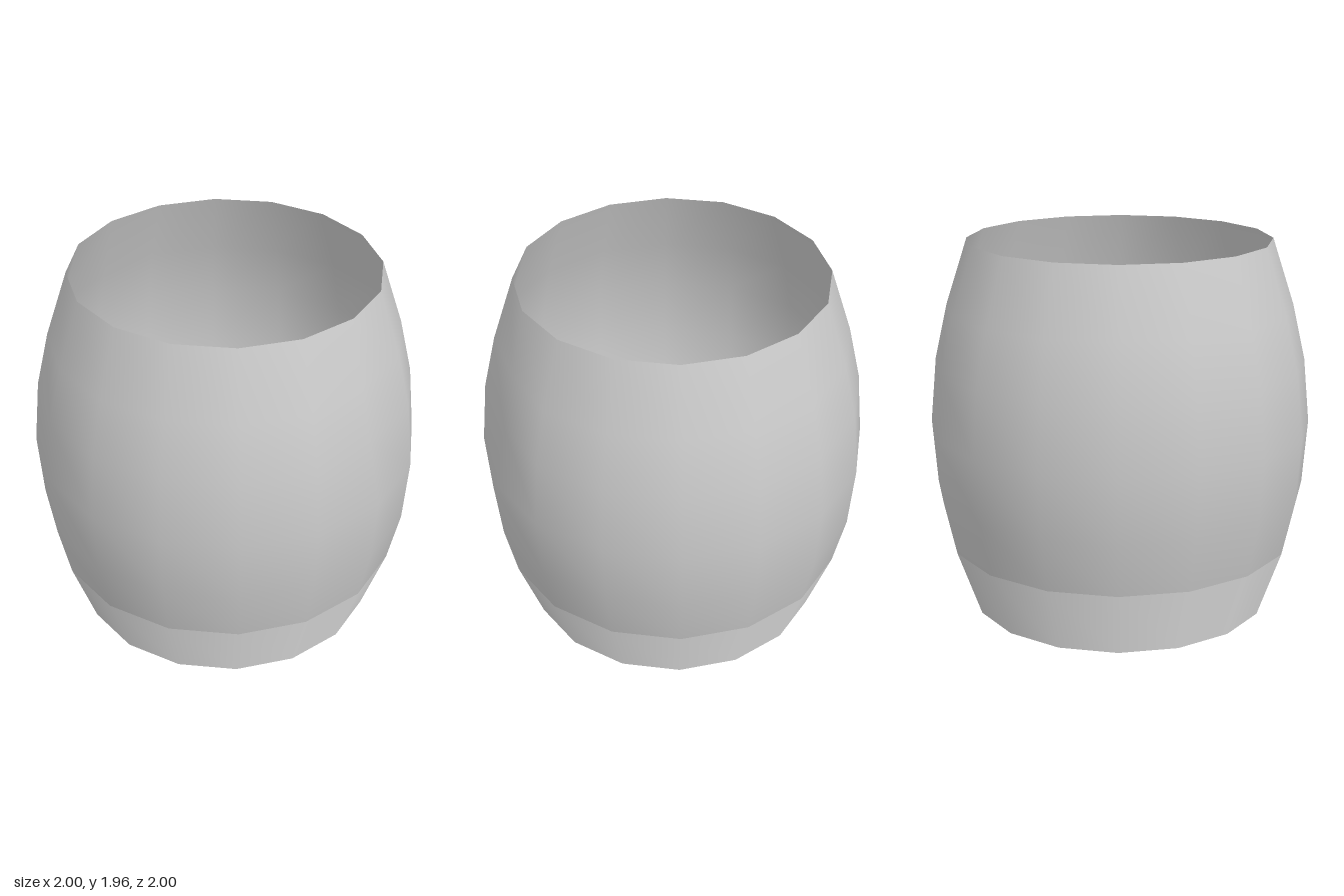
import * as THREE from 'three';

const SIDES = 16;
const MID = [1, 0.98], RIM = [0.787, 1.955];
const material = new THREE.MeshStandardMaterial({ color: 0xcccccc, side: THREE.DoubleSide });

// Open ring of wall turned from a [radius, height] profile
function wall(name, profile) {
  const geometry = new THREE.LatheGeometry(profile.map(([r, y]) => new THREE.Vector2(r, y)), SIDES);
  const mesh = new THREE.Mesh(geometry, material);
  mesh.name = name;
  return mesh;
}

export function createModel() {
  const group = new THREE.Group();
  group.name = 'barrel';

  // Bulging body, open at the top
  const body = wall('body', [[0.912, 0.355], [0.975, 0.64], MID, [0.967, 1.32], [0.9, 1.61], RIM]);
  const pos = body.geometry.attributes.position;
  // The front and back staves run straight from the widest ring to the rim
  for (let i = 0; i < pos.count; i++) {
    const y = pos.getY(i);
    if (Math.abs(pos.getX(i)) < 1e-4 && y > MID[1]) {
      const t = (y - MID[1]) / (RIM[1] - MID[1]);
      pos.setZ(i, Math.sign(pos.getZ(i)) * THREE.MathUtils.lerp(MID[0], RIM[0], t));
    }
  }
  group.add(body);

  // Base band, open underneath, shaded as an upright ring
  const base = wall('baseBand', [[0.787, 0], [0.912, 0.355]]);
  const normal = base.geometry.attributes.normal;
  for (let i = 0; i < normal.count; i++) normal.setY(i, 0);
  base.geometry.normalizeNormals();
  group.add(base);

  return group;
}
